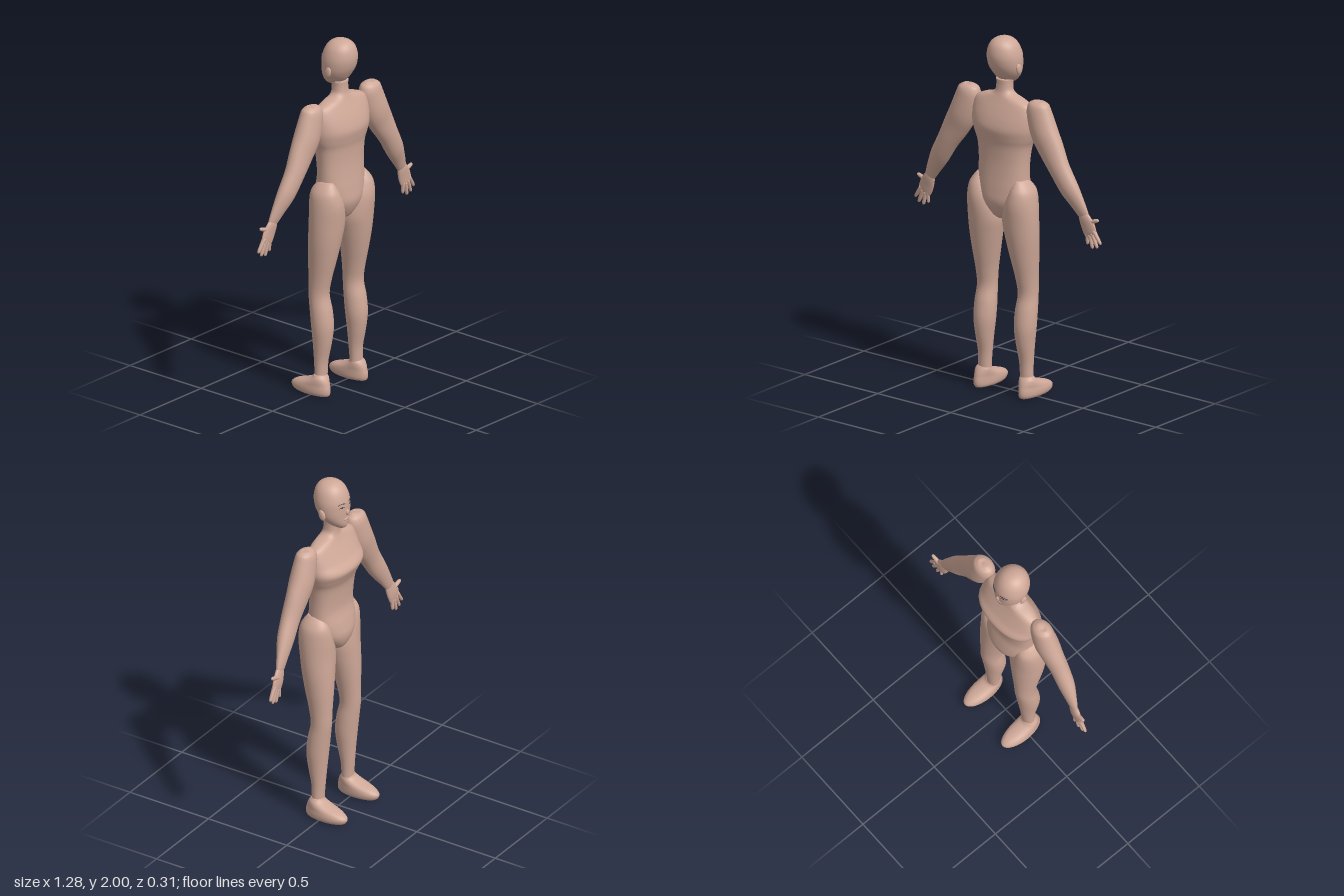
import * as THREE from 'three';

const skin = new THREE.MeshStandardMaterial({ color: 0xcfa898 });
skin.name = 'skin';
const dark = new THREE.MeshStandardMaterial({ color: 0x3f3a45 });
dark.name = 'brow dark';

// Smooth closed loft. Rows are [x, y, z, radiusU, radiusZ], ordered downwards or outwards.
// flat: horizontal sections; otherwise sections stand square to the path in the xy plane.
function loft(name, rows, { flat = true, power = 2, steps = 5, seg = 32, side = 1 } = {}) {
  const path = new THREE.CatmullRomCurve3(
    rows.map(r => new THREE.Vector3(r[0] * side, r[1], r[2])), false, 'catmullrom', 0.5);
  const size = new THREE.CatmullRomCurve3(
    rows.map(r => new THREE.Vector3(r[3], r[4], 0)), false, 'catmullrom', 0.5);
  const n = (rows.length - 1) * steps, pos = [], index = [];
  const round = v => Math.sign(v) * Math.pow(Math.abs(v), 2 / power);
  for (let i = 0; i <= n; i++) {
    const c = path.getPoint(i / n), s = size.getPoint(i / n), t = path.getTangent(i / n);
    const l = Math.hypot(t.x, t.y) || 1;
    const ux = flat ? 1 : -t.y / l, uy = flat ? 0 : t.x / l;
    for (let j = 0; j < seg; j++) {
      const a = j / seg * Math.PI * 2;
      const u = Math.max(s.x, 0.0005) * round(Math.cos(a));
      const v = Math.max(s.y, 0.0005) * round(Math.sin(a));
      pos.push(c.x + ux * u, c.y + uy * u, c.z + v);
      if (i < n) {
        const p = i * seg + j, q = i * seg + (j + 1) % seg;
        index.push(p, q, p + seg, q, q + seg, p + seg);
      }
    }
  }
  // end caps
  for (let j = 1; j < seg - 1; j++) {
    const e = n * seg;
    index.push(0, j + 1, j, e, e + j, e + j + 1);
  }
  const g = new THREE.BufferGeometry();
  g.setAttribute('position', new THREE.Float32BufferAttribute(pos, 3));
  g.setIndex(index);
  g.computeVertexNormals();
  const m = new THREE.Mesh(g, skin);
  m.name = name;
  return m;
}

function ellipsoid(name, x, y, z, rx, ry, rz, mat = skin) {
  const m = new THREE.Mesh(new THREE.SphereGeometry(1, 20, 14), mat);
  m.name = name;
  m.position.set(x, y, z);
  m.scale.set(rx, ry, rz);
  return m;
}

// Section given by height, half width, back z and front z
const row = (y, rx, back, front, x = 0) => [x, y, (back + front) / 2, rx, (back - front) / 2];
// The same with outer and inner x
const limb = (y, outer, inner, back, front) =>
  row(y, (outer - inner) / 2, back, front, (outer + inner) / 2);

// Thin curved stroke lying on the front of the face
function stroke(name, pts, r) {
  const curve = new THREE.CatmullRomCurve3(pts.map(([x, y]) =>
    new THREE.Vector3(x, y, 0.043 - 0.099 * Math.sqrt(1 - (x / 0.1) ** 2))));
  const m = new THREE.Mesh(new THREE.TubeGeometry(curve, 12, r, 6), dark);
  m.name = name;
  return m;
}

function createHead() {
  const head = new THREE.Group();
  head.name = 'head';
  head.add(loft('skull', [
    row(2.0, 0.001, 0.051, 0.049), row(1.995, 0.03, 0.083, 0.018), row(1.98, 0.058, 0.112, -0.01),
    row(1.95, 0.082, 0.132, -0.034), row(1.9, 0.097, 0.14, -0.052), row(1.85, 0.097, 0.13, -0.055),
    row(1.81, 0.088, 0.11, -0.054), row(1.775, 0.067, 0.085, -0.054), row(1.75, 0.042, 0.055, -0.05),
    row(1.735, 0.02, 0.01, -0.038), row(1.732, 0.001, -0.014, -0.016),
  ]));
  head.add(ellipsoid('nose', 0, 1.834, -0.052, 0.011, 0.018, 0.014));
  head.add(ellipsoid('lips', 0, 1.795, -0.052, 0.022, 0.008, 0.006));
  for (const s of [1, -1]) {
    const ear = ellipsoid('ear', s * 0.097, 1.83, 0.042, 0.011, 0.032, 0.02);
    ear.rotation.x = 0.25;
    head.add(ear);
    head.add(stroke('eyebrow', [[s * 0.017, 1.893], [s * 0.04, 1.899], [s * 0.06, 1.892]], 0.0018));
    head.add(stroke('eyelid', [[s * 0.02, 1.872], [s * 0.036, 1.879], [s * 0.053, 1.872]], 0.0015));
    head.add(ellipsoid('eye', s * 0.036, 1.872, -0.0475, 0.005, 0.004, 0.003, dark));
  }
  return head;
}

function createArm(side) {
  const arm = new THREE.Group();
  arm.name = side > 0 ? 'leftArm' : 'rightArm';
  const opts = { flat: false, side };
  arm.add(loft('upperAndLowerArm', [
    [0.232, 1.686, 0.05, 0.001, 0.001], [0.232, 1.68, 0.05, 0.042, 0.03],
    [0.235, 1.655, 0.05, 0.066, 0.05], [0.247, 1.6, 0.05, 0.077, 0.058],
    [0.28, 1.51, 0.05, 0.082, 0.063], [0.325, 1.43, 0.05, 0.077, 0.056],
    [0.382, 1.335, 0.052, 0.063, 0.049], [0.443, 1.235, 0.045, 0.057, 0.043],
    [0.49, 1.16, 0.034, 0.045, 0.029], [0.522, 1.105, 0.026, 0.035, 0.018],
    [0.53, 1.09, 0.024, 0.03, 0.014],
  ], opts));
  arm.add(loft('palm', [
    [0.518, 1.11, 0.026, 0.028, 0.014], [0.533, 1.08, 0.024, 0.038, 0.017],
    [0.552, 1.04, 0.02, 0.046, 0.016], [0.568, 1.0, 0.019, 0.043, 0.012],
    [0.575, 0.985, 0.018, 0.03, 0.006],
  ], opts));
  // base x, y, tip x, y, radius
  const digits = [
    [0.59, 1.02, 0.637, 0.95, 0.0105], [0.578, 1.005, 0.613, 0.925, 0.0105],
    [0.562, 0.995, 0.58, 0.917, 0.0105], [0.545, 0.998, 0.545, 0.935, 0.0095],
    [0.55, 1.06, 0.622, 1.085, 0.0115],
  ];
  digits.forEach(([x0, y0, x1, y1, r], i) => {
    const at = (t, k) => [x0 + (x1 - x0) * t, y0 + (y1 - y0) * t, 0.019 - 0.003 * t, r * k, r * k];
    arm.add(loft(i === 4 ? 'thumb' : 'finger',
      [at(0, 1.2), at(0.4, 1.05), at(0.8, 0.9), at(0.95, 0.6), at(1, 0.05)],
      { flat: false, side, seg: 12, steps: 3 }));
  });
  return arm;
}

function createLeg(side) {
  const leg = new THREE.Group();
  leg.name = side > 0 ? 'leftLeg' : 'rightLeg';
  leg.add(loft('thighAndCalf', [
    limb(1.222, 0.157, 0.105, 0.105, 0.02), limb(1.19, 0.186, 0.085, 0.128, -0.012),
    limb(1.15, 0.207, 0.065, 0.146, -0.03), limb(1.08, 0.217, 0.035, 0.156, -0.038),
    limb(0.98, 0.22, 0.016, 0.148, -0.04), limb(0.88, 0.217, 0.032, 0.134, -0.043),
    limb(0.77, 0.207, 0.055, 0.113, -0.044), limb(0.66, 0.197, 0.076, 0.088, -0.042),
    limb(0.57, 0.195, 0.084, 0.075, -0.04), limb(0.48, 0.2, 0.077, 0.093, -0.03),
    limb(0.39, 0.2, 0.077, 0.102, -0.02), limb(0.3, 0.191, 0.088, 0.093, -0.012),
    limb(0.2, 0.182, 0.1, 0.073, -0.004), limb(0.12, 0.181, 0.105, 0.068, 0.001),
    limb(0.06, 0.181, 0.105, 0.068, 0.001),
  ], { side }));
  leg.add(loft('foot', [
    limb(0.118, 0.183, 0.108, 0.066, 0.002), limb(0.1, 0.196, 0.103, 0.08, -0.012),
    limb(0.08, 0.203, 0.1, 0.09, -0.06), limb(0.06, 0.207, 0.098, 0.096, -0.122),
    limb(0.038, 0.21, 0.097, 0.101, -0.153), limb(0.018, 0.208, 0.099, 0.101, -0.151),
    limb(0.005, 0.2, 0.106, 0.096, -0.138), limb(0, 0.19, 0.116, 0.088, -0.12),
  ], { side, steps: 4 }));
  return leg;
}

export function createModel() {
  const body = new THREE.Group();
  body.name = 'figure';
  body.add(createHead());
  // neck, chest, waist and pelvis in one skin
  body.add(loft('torso', [
    row(1.765, 0.046, 0.085, 0.0), row(1.73, 0.045, 0.085, 0.002), row(1.7, 0.05, 0.088, 0.002),
    row(1.68, 0.075, 0.094, 0.0), row(1.664, 0.13, 0.1, -0.005), row(1.64, 0.178, 0.11, -0.015),
    row(1.6, 0.196, 0.127, -0.035), row(1.55, 0.202, 0.145, -0.062), row(1.5, 0.202, 0.155, -0.093),
    row(1.45, 0.187, 0.147, -0.075), row(1.4, 0.167, 0.137, -0.055), row(1.32, 0.157, 0.134, -0.044),
    row(1.24, 0.155, 0.138, -0.042), row(1.16, 0.155, 0.145, -0.058), row(1.09, 0.135, 0.147, -0.067),
    row(1.03, 0.085, 0.125, -0.052), row(0.99, 0.04, 0.095, -0.02), row(0.975, 0.004, 0.05, 0.03),
  ], { power: 2.25, seg: 48 }));
  for (const side of [1, -1]) body.add(createArm(side), createLeg(side));
  return body;
}
